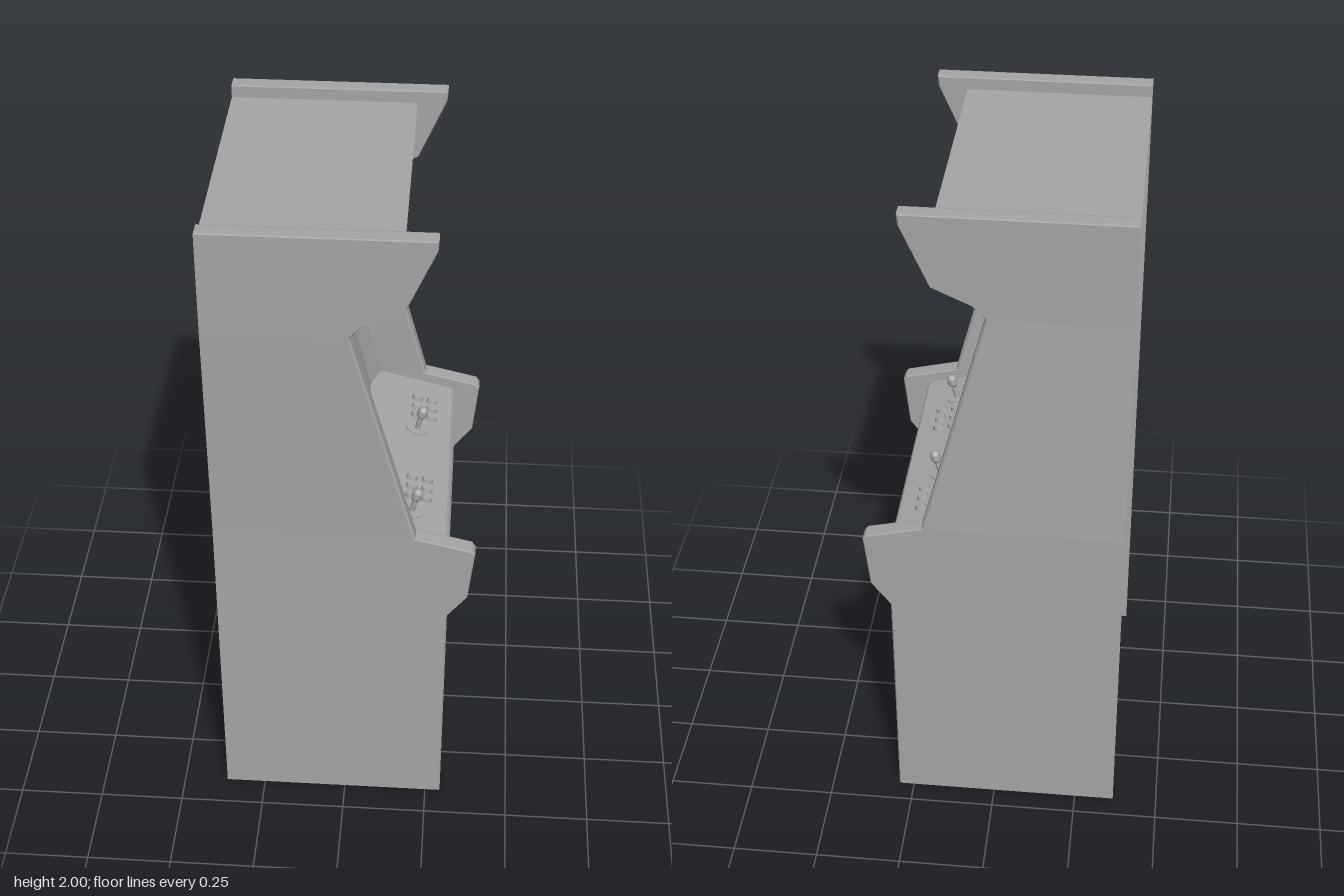
import * as THREE from 'three';

const cabinetGrey = new THREE.MeshStandardMaterial({ color: 0xa6a6a6, side: THREE.DoubleSide });
cabinetGrey.name = 'cabinetGrey';

// Outer side-panel edge, back top round the front to the floor (x, y)
const BACK = -0.368;
const outer = [[BACK, 2], [0.24, 2], [0.238, 1.97], [0.162, 1.795], [0.055, 1.745], [0.018, 1.705],
  [0.2, 1.02], [0.36, 0.982], [0.368, 0.97], [0.352, 0.81], [0.296, 0.735], [0.296, 0]];
// Recessed shell between the panels, point for point
const inner = [[BACK, 1.965], [0.155, 1.965], [0.153, 1.955], [0.085, 1.793], [-0.035, 1.737], [-0.1, 1.7],
  [0.06, 1.024], [0.283, 0.968], [0.288, 0.962], [0.272, 0.82], [0.216, 0.735], [0.216, 0]];
const SCREEN = 5; // segment of the shell holding the screen
const Z_IN = 0.374, Z_OUT = 0.424, EDGE = 0.006;

// The cabinet above the deck steps slightly to one side, slanting over the screen
const lean = (y) => 0.025 * THREE.MathUtils.clamp((y - 1.02) / 0.68, 0, 1) - 0.0125;
const at = (points, z) => points.map(([x, y]) => [x, y, z + lean(y)]);

// Sheet of quads between neighbouring rows of points
function sheet(rows) {
  const pos = [];
  for (let r = 0; r < rows.length - 1; r++) {
    for (let i = 0; i < rows[r].length - 1; i++) {
      const a = rows[r][i], b = rows[r][i + 1], c = rows[r + 1][i + 1], d = rows[r + 1][i];
      pos.push(...a, ...b, ...c, ...a, ...c, ...d);
    }
  }
  const g = new THREE.BufferGeometry();
  g.setAttribute('position', new THREE.Float32BufferAttribute(pos, 3));
  g.computeVertexNormals();
  return g;
}

function add(parent, geometry, name) {
  const mesh = new THREE.Mesh(geometry, cabinetGrey);
  mesh.name = name;
  parent.add(mesh);
  return mesh;
}

function sidePanel(side) {
  const group = new THREE.Group();
  group.name = side > 0 ? 'nearSidePanel' : 'farSidePanel';
  // Slightly softened outline, and the straight back edge at the same heights
  const soft = outer.map(([x, y], i) => [x + (inner[i][0] - x) * 0.05, y + (inner[i][1] - y) * 0.05]);
  const back = soft.map(([, y]) => [BACK, y]);
  const face = [at(back, side * Z_OUT), at(soft, side * Z_OUT)];
  // Front rim and the lip returning to the shell
  const rim = [at(soft, side * Z_OUT), at(outer, side * (Z_OUT - EDGE)), at(outer, side * (Z_IN + EDGE)),
    at(soft, side * Z_IN), at(inner, side * Z_IN)];
  if (side < 0) {
    face.reverse();
    rim.reverse();
  }
  add(group, sheet(face), 'sideFace');
  add(group, sheet(rim), 'sideRim');
  return group;
}

// Shallow bezel sloping in to the screen
function screen() {
  const group = new THREE.Group();
  group.name = 'screenAssembly';
  const ring = (top, bottom, zTop, zBottom) => {
    const corners = [[...top, zTop], [...top, -zTop], [...bottom, -zBottom], [...bottom, zBottom], [...top, zTop]];
    return corners.map(([x, y, z]) => [x, y, z + lean(y)]);
  };
  const frame = ring(inner[SCREEN], inner[SCREEN + 1], Z_IN, Z_IN);
  const glass = ring([-0.109, 1.635], [0.034, 1.035], 0.275, 0.295);
  add(group, sheet([glass, frame]), 'bezel');
  add(group, sheet([[glass[0], glass[1]], [glass[3], glass[2]]]), 'screen');
  return group;
}

// Controls standing square to the sloping control deck
function controls() {
  const group = new THREE.Group();
  group.name = 'controls';
  const [a, b] = [inner[SCREEN + 1], inner[SCREEN + 2]];
  const slope = (b[1] - a[1]) / (b[0] - a[0]);
  const mount = (x, z, name) => {
    const g = new THREE.Group();
    g.name = name;
    g.position.set(x, a[1] + (x - a[0]) * slope, z);
    g.rotation.z = Math.atan(slope);
    group.add(g);
    return g;
  };
  for (const z of [0.253, -0.137]) {
    const stick = mount(0.183, z, 'joystick');
    add(stick, new THREE.CylinderGeometry(0.033, 0.033, 0.008, 24), 'joystickBase');
    add(stick, new THREE.CylinderGeometry(0.008, 0.008, 0.06, 12), 'joystickShaft').position.y = 0.03;
    add(stick, new THREE.CapsuleGeometry(0.015, 0.012, 6, 16), 'joystickKnob').position.y = 0.061;
    for (const x of [0.178, 0.222]) {
      for (const dz of [-0.152, -0.108, -0.065]) {
        const button = mount(x, z + dz, 'button');
        add(button, new THREE.CylinderGeometry(0.015, 0.018, 0.016, 16), 'buttonCap').position.y = 0.005;
      }
    }
  }
  return group;
}

export function createModel() {
  const model = new THREE.Group();
  model.name = 'arcadeCabinet';
  model.add(sidePanel(1), sidePanel(-1));
  // Shell sections between the side panels
  const sections = [['roof', 0, 1], ['marquee', 1, 3], ['marqueeUnderside', 3, SCREEN],
    ['controlDeck', 6, 7], ['controlFront', 7, 9], ['controlUnderside', 9, 10], ['frontPanel', 10, 11]];
  for (const [name, from, to] of sections) {
    const part = inner.slice(from, to + 1);
    add(model, sheet([at(part, Z_IN), at(part, -Z_IN)]), name);
  }
  model.add(screen(), controls());
  return model;
}
